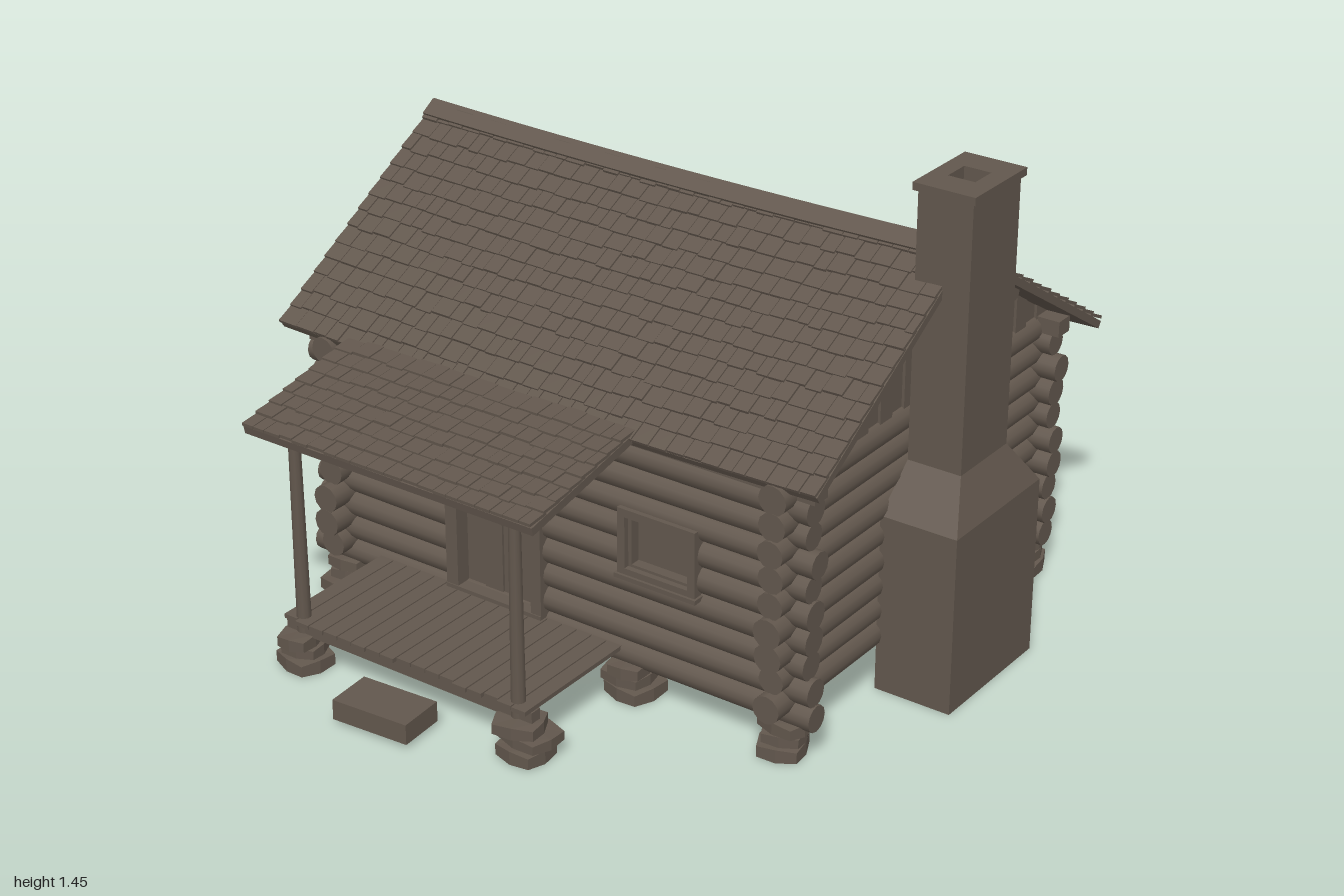
import * as THREE from 'three';
import { mergeGeometries } from 'three/addons/utils/BufferGeometryUtils.js';

// small seeded generator, returns -1..1
let seed = 7;
const rnd = () => {
  seed = (seed * 16807) % 2147483647;
  return (seed / 2147483647) * 2 - 1;
};

// box from min / max corners
function box(x0, x1, y0, y1, z0, z1, segX = 1) {
  return new THREE.BoxGeometry(x1 - x0, y1 - y0, z1 - z0, segX, 1, 1)
    .translate((x0 + x1) / 2, (y0 + y1) / 2, (z0 + z1) / 2);
}

// round log along x or z
function log(axis, a, b, y, other, r = 0.04) {
  const g = new THREE.CylinderGeometry(r * (1 + rnd() * 0.06), r * (1 + rnd() * 0.06), b - a, 12);
  if (axis === 'x') return g.rotateZ(Math.PI / 2).translate((a + b) / 2, y, other);
  return g.rotateX(Math.PI / 2).translate(other, y, (a + b) / 2);
}

// flat ring (rectangle with a rectangular hole) lying level, from y0 to y1
function ring(x0, x1, z0, z1, h, y0, y1) {
  const rect = (T, a, b, c, d) => {
    const s = new T();
    s.moveTo(a, c); s.lineTo(b, c); s.lineTo(b, d); s.lineTo(a, d); s.closePath();
    return s;
  };
  const s = rect(THREE.Shape, x0, x1, -z1, -z0);
  s.holes.push(rect(THREE.Path, h[0], h[1], -h[3], -h[2]));
  return new THREE.ExtrudeGeometry(s, { depth: y1 - y0, bevelEnabled: false })
    .rotateX(-Math.PI / 2).translate(0, y0, 0);
}

// wall logs, split around openings [from, to, bottom, top]
function wallLogs(axis, from, to, y0, other, openings = []) {
  const out = [];
  for (let i = 0; i < 9; i++) {
    const y = y0 + i * 0.0755;
    let start = from + rnd() * 0.015;
    for (const [a, b, lo, hi] of openings) {
      if (y < lo || y > hi) continue;
      out.push(log(axis, start, a, y, other));
      start = b;
    }
    out.push(log(axis, start, to + rnd() * 0.015, y, other));
  }
  return out;
}

// shingled slope: local z runs down from the top edge, local y is its normal
function slope(width, run, drop, rows, thick) {
  const len = Math.hypot(run, drop), step = len / rows, out = [];
  out.push(box(-width / 2, width / 2, -thick, -0.008, 0, len - 0.004, 16));
  for (let r = 0; r < rows; r++) {
    let x = -width / 2;
    while (x < width / 2 - 0.001) {
      let w = 0.05 + rnd() * 0.016;
      if (x + w > width / 2 - 0.025) w = width / 2 - x;
      const l = step + 0.012;
      const end = Math.min((r + 1) * step + rnd() * 0.004, len);
      out.push(new THREE.BoxGeometry(w - 0.003, 0.009, l)
        .rotateX(-0.11).translate(x + w / 2, -0.002 + rnd() * 0.0015, end - l / 2));
      x += w;
    }
  }
  return out.map(g => g.rotateX(Math.atan2(drop, run)));
}

// pile of rough flat stones
function stonePile(x, z) {
  const out = [];
  let y = 0;
  for (const h of [0.04, 0.032, 0.036]) {
    const g = new THREE.BoxGeometry(0.145 + rnd() * 0.025 - y * 0.3, h, 0.13 + rnd() * 0.02 - y * 0.2, 2, 1, 2);
    const p = g.attributes.position;
    for (let i = 0; i < p.count; i++) {
      const corner = Math.abs(p.getX(i)) > 0.01 && Math.abs(p.getZ(i)) > 0.01;
      if (corner) p.setXYZ(i, p.getX(i) * 0.86, p.getY(i) * 0.8, p.getZ(i) * 0.86);
    }
    out.push(g.rotateY(rnd() * 0.3).translate(x + rnd() * 0.012, y + h / 2, z + rnd() * 0.012));
    y += h;
  }
  return out;
}

export function createModel() {
  seed = 7;
  const model = new THREE.Group();
  const weathered = new THREE.MeshStandardMaterial({ color: 0x62574d });
  weathered.name = 'weatheredBrown';

  const add = (name, geos, flat = false) => {
    const g = mergeGeometries(geos.map(q => (q.index ? q.toNonIndexed() : q)));
    if (flat) g.computeVertexNormals();
    const m = new THREE.Mesh(g, weathered);
    m.name = name;
    model.add(m);
    return m;
  };

  const L = -0.8, R = 0.695, F = 0.4, B = -0.83;
  const ridgeZ = -0.215, ridgeY = 1.252, pitch = 0.63;

  // log walls
  const door = [-0.38, -0.09, 0.16, 0.68], win = [0.2, 0.43, 0.39, 0.58];
  add('frontWall', wallLogs('x', -0.885, 0.78, 0.13, F, [door, win]));
  add('backWall', wallLogs('x', -0.885, 0.78, 0.13, B));
  add('leftWall', wallLogs('z', -0.915, 0.485, 0.167, L, [[-0.295, -0.065, 0.39, 0.58]]).flat());
  add('rightWall', wallLogs('z', -0.915, 0.485, 0.167, R));
  add('wallPlates', [F, B].map(z => box(-0.89, 0.79, 0.765, 0.812, z - 0.03, z + 0.03)));
  add('floor', [box(L, R, 0.105, 0.13, B, F)]);

  // gable boards, every other one standing proud
  const gable = [];
  const roofUnder = z => ridgeY - pitch * Math.abs(z - ridgeZ) - 0.025;
  for (const x of [L, R]) {
    for (let i = -11; i < 11; i++) {
      const a = ridgeZ + i * 0.058, b = a + 0.058, t = i % 2 ? 0.05 : 0.034;
      const s = new THREE.Shape();
      s.moveTo(a, 0.785); s.lineTo(b, 0.785); s.lineTo(b, roofUnder(b)); s.lineTo(a, roofUnder(a));
      gable.push(new THREE.ExtrudeGeometry(s, { depth: t, bevelEnabled: false })
        .rotateY(-Math.PI / 2).translate(x + t / 2, 0, 0));
    }
  }
  add('gableBoards', gable);

  // main roof, sagging a little in the middle
  const cx = -0.07, roofW = 1.78;
  const sag = g => {
    const p = g.attributes.position;
    for (let i = 0; i < p.count; i++) {
      p.setY(i, p.getY(i) - 0.013 * (1 - (p.getX(i) / (roofW / 2)) ** 2));
    }
    return g.translate(cx, ridgeY, ridgeZ);
  };
  add('frontRoof', slope(roofW, 0.69, 0.69 * pitch, 14, 0.03).map(sag), true);
  add('backRoof', slope(roofW, 0.783, 0.783 * pitch, 15, 0.03).map(g => sag(g.rotateY(Math.PI))), true);
  add('ridgeCap', [0, Math.PI].map(t => sag(box(-roofW / 2, roofW / 2, 0.003, 0.013, -0.006, 0.05, 16)
    .rotateX(Math.atan(pitch)).rotateY(t))), true);
  add('purlins', [-0.54, 0.11].map(z => log('x', -0.94, 0.79, 0.995, z, 0.022)));

  // chimney with sloping shoulders and an open top
  const shoulder = box(0.72, 0.955, 0.53, 0.66, -0.43, 0);
  const sp = shoulder.attributes.position;
  for (let i = 0; i < sp.count; i++) {
    if (sp.getY(i) > 0.6) {
      sp.setX(i, sp.getX(i) > 0.8 ? 0.9 : 0.737);
      sp.setZ(i, sp.getZ(i) > -0.2 ? -0.1 : -0.335);
    }
  }
  const flue = [0.775, 0.855, -0.26, -0.18];
  add('chimney', [
    box(0.72, 0.955, 0, 0.53, -0.43, 0), shoulder,
    ring(0.737, 0.9, -0.335, -0.1, flue, 0.66, 1.43),
    ring(0.725, 0.91, -0.347, -0.09, flue, 1.428, 1.45),
  ], true);

  // door with frame and planks
  add('doorFrame', [
    box(-0.4, -0.36, 0.15, 0.68, 0.36, 0.452), box(-0.105, -0.07, 0.15, 0.68, 0.36, 0.452),
    box(-0.4, -0.07, 0.665, 0.695, 0.36, 0.452), box(-0.4, -0.07, 0.145, 0.165, 0.36, 0.455),
  ]);
  const planks = [];
  for (let i = 0; i < 4; i++) {
    planks.push(box(-0.36 + i * 0.064, -0.299 + i * 0.064, 0.165, 0.665, 0.385, 0.405 + (i % 2) * 0.004));
  }
  add('door', planks);

  // windows: outer frame, inner sash and pane
  const frame = (w, h, t, z0, z1) => [
    box(-w, -w + t, -h, h, z0, z1), box(w - t, w, -h, h, z0, z1),
    box(-w + t, w - t, h - t, h, z0, z1), box(-w + t, w - t, -h, -h + t, z0, z1),
  ];
  const windowParts = () => [
    ...frame(0.125, 0.1, 0.024, -0.04, 0.052), ...frame(0.102, 0.08, 0.012, -0.03, 0.035),
    box(-0.1, 0.1, -0.08, 0.08, -0.005, 0.004), box(-0.132, 0.132, -0.107, -0.094, -0.04, 0.06),
  ];
  add('frontWindow', windowParts()).position.set(0.315, 0.485, F);
  const side = add('leftWindow', windowParts());
  side.position.set(L, 0.49, -0.18);
  side.rotation.y = -Math.PI / 2;

  // porch deck, posts, beams and roof
  const deck = [];
  for (let i = 0; i < 17; i++) {
    const x = -0.66 + i * 0.05;
    deck.push(box(x, x + 0.046, 0.14, 0.153, 0.43, 0.84 + rnd() * 0.008));
  }
  add('porchDeck', deck);
  add('porchBeams', [
    box(-0.66, 0.19, 0.103, 0.14, 0.79, 0.825),
    box(-0.69, 0.215, 0.69, 0.718, 0.795, 0.825),
  ]);
  add('porchPosts', [-0.61, 0.135].map(x =>
    new THREE.CylinderGeometry(0.017, 0.021, 0.6, 10).translate(x, 0.4, 0.81)));
  add('porchRoof', slope(0.97, 0.43, 0.09, 8, 0.032).map(g => g.translate(-0.235, 0.826, 0.46)), true);

  // foundation stones and doorstep
  const stones = [];
  for (const x of [L, -0.3, 0.2, R]) stones.push(...stonePile(x, F), ...stonePile(x, B));
  for (const x of [L, R]) stones.push(...stonePile(x, -0.215));
  for (const x of [-0.61, 0.155]) stones.push(...stonePile(x, 0.81));
  add('foundationStones', stones, true);
  add('doorstep', [new THREE.BoxGeometry(0.24, 0.06, 0.14).rotateY(0.07).translate(-0.23, 0.045, 0.922)]);

  return model;
}
